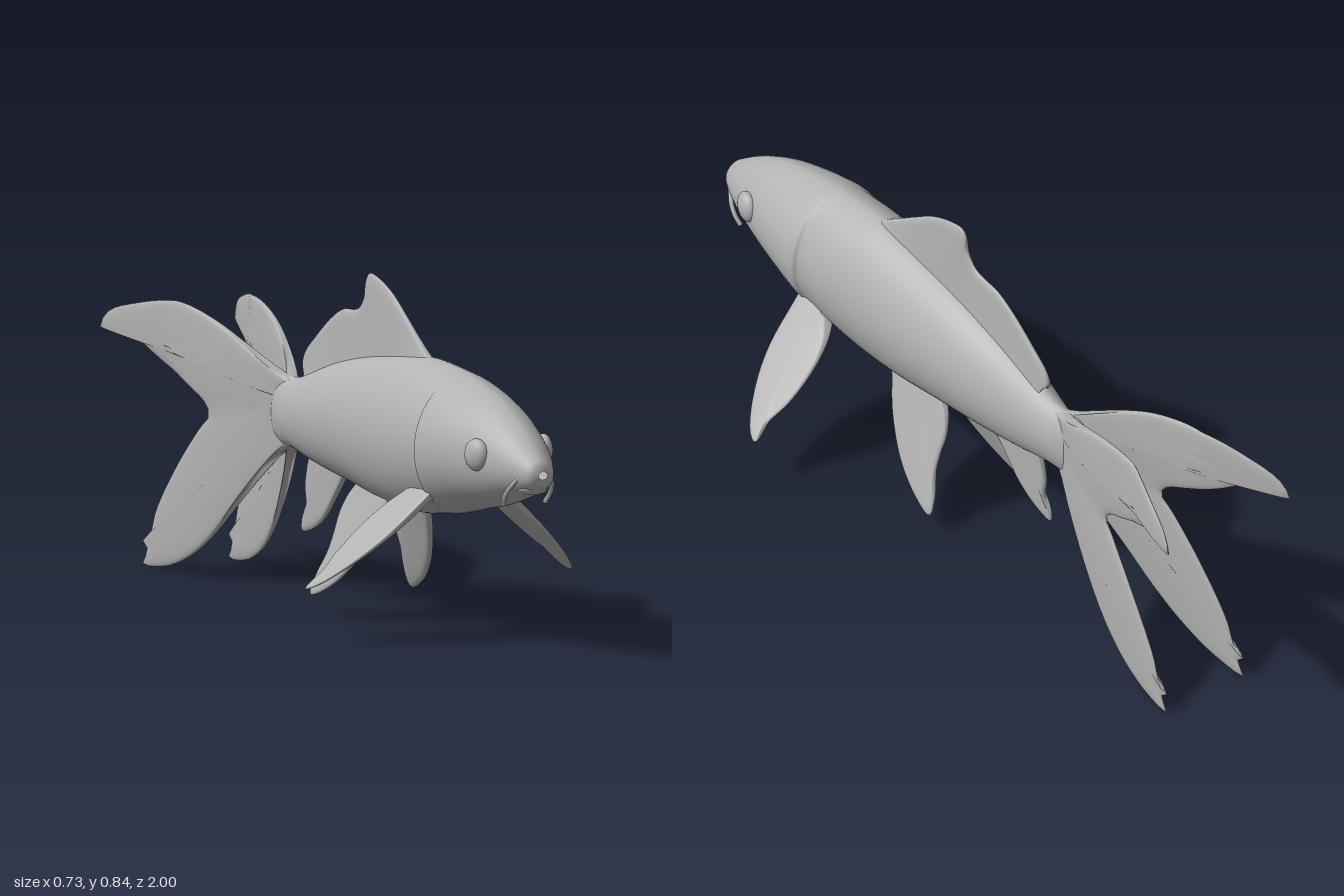
import * as THREE from 'three';
import { mergeVertices } from 'three/addons/utils/BufferGeometryUtils.js';

const skin = new THREE.MeshStandardMaterial({ color: 0xb2b2b2, side: THREE.DoubleSide });
skin.name = 'greySkin';

// Smooth surface from a (nu x nv) grid of points; flip reverses the faces
function grid(nu, nv, point, flip) {
  const pos = [], idx = [], n = nv + 1;
  for (let i = 0; i <= nu; i++)
    for (let j = 0; j <= nv; j++) pos.push(...point(i / nu, j / nv));
  for (let i = 0; i < nu; i++)
    for (let j = 0; j < nv; j++) {
      const a = i * n + j, b = a + n;
      if (flip) idx.push(a, a + 1, b, b, a + 1, b + 1);
      else idx.push(a, b, a + 1, b, b + 1, a + 1);
    }
  let geo = new THREE.BufferGeometry();
  geo.setAttribute('position', new THREE.Float32BufferAttribute(pos, 3));
  geo.setIndex(idx);
  geo = mergeVertices(geo, 1e-5);
  geo.computeVertexNormals();
  return geo;
}

function add(group, name, geo) {
  const mesh = new THREE.Mesh(geo, skin);
  mesh.name = name;
  group.add(mesh);
  return mesh;
}

const curve = (pts) => new THREE.CatmullRomCurve3(pts.map(([z, y]) => new THREE.Vector3(0, y, z)));

// Fin: rays from a root curve to a rim curve, both [z, y]; xAt bends it sideways,
// thick = [half thickness at root, at rim]
function fin(root, rim, thick, xAt = () => 0, side = 1) {
  const r = curve(root), e = curve(rim);
  return grid(96, 24, (u, t) => {
    const s = 2 * t - 1, v = 1 - s * s;
    const p = r.getPointAt(u).lerp(e.getPointAt(u), v);
    const h = THREE.MathUtils.lerp(thick[0], thick[1], v) * Math.sqrt(1 - v ** 20);
    return [side * (xAt(p.z, p.y) - Math.sign(s) * h), p.y, p.z];
  }, side < 0);
}

// Body stations from nose to tail: z, top, bottom, half width
const stations = [
  [1.0, 0.475, 0.455, 0.012], [0.992, 0.495, 0.435, 0.03], [0.97, 0.515, 0.42, 0.045],
  [0.9, 0.565, 0.395, 0.075], [0.8, 0.615, 0.365, 0.103], [0.7, 0.645, 0.343, 0.126],
  [0.62, 0.662, 0.325, 0.139], [0.585, 0.667, 0.318, 0.14], [0.565, 0.67, 0.314, 0.131],
  [0.48, 0.677, 0.303, 0.134], [0.4, 0.68, 0.295, 0.132], [0.3, 0.672, 0.295, 0.128],
  [0.2, 0.66, 0.302, 0.122], [0.1, 0.645, 0.315, 0.114], [0, 0.625, 0.325, 0.104],
  [-0.1, 0.6, 0.335, 0.09], [-0.2, 0.568, 0.347, 0.072], [-0.3, 0.538, 0.362, 0.052],
  [-0.37, 0.54, 0.36, 0.038], [-0.41, 0.53, 0.37, 0.022], [-0.43, 0.5, 0.4, 0.002],
];

function bodyGeometry() {
  const spline = (f) => new THREE.CatmullRomCurve3(stations.map(f), false, 'catmullrom', 0.5);
  const heights = spline(([z, top, bottom]) => new THREE.Vector3(z, top, bottom));
  const widths = spline(([z, , , w]) => new THREE.Vector3(z, w, 0));
  return grid(100, 56, (u, t) => {
    const { x: z, y: top, z: bottom } = heights.getPoint(u);
    const w = widths.getPoint(u).y, mid = bottom + (top - bottom) * 0.47;
    const a = t * Math.PI * 2, c = Math.cos(a), s = t === 1 ? 0 : Math.sin(a);
    // peaked back, fuller belly
    const x = w * Math.sign(s) * Math.abs(s) ** (c > 0 ? 1.22 : 0.95);
    return [x, mid + c * (c > 0 ? top - mid : mid - bottom), z];
  }, true);
}

export function createModel() {
  const fish = new THREE.Group();
  fish.name = 'fish';
  add(fish, 'body', bodyGeometry());

  // Lower lip
  const lip = add(fish, 'lowerLip', new THREE.SphereGeometry(1, 24, 16));
  lip.scale.set(0.04, 0.02, 0.04);
  lip.position.set(0, 0.43, 0.943);

  // Dorsal and anal fins on the centre line
  add(fish, 'dorsalFin', fin(
    [[0.42, 0.665], [0.3, 0.655], [0.1, 0.63], [-0.1, 0.585], [-0.25, 0.54]],
    [[0.42, 0.665], [0.35, 0.71], [0.27, 0.765], [0.2, 0.81], [0.13, 0.838], [0.08, 0.845],
      [0.065, 0.83], [0.058, 0.79], [0.03, 0.755], [0, 0.745], [-0.06, 0.738], [-0.12, 0.71],
      [-0.2, 0.655], [-0.26, 0.605], [-0.27, 0.575], [-0.25, 0.555]],
    [0.018, 0.007]));
  add(fish, 'analFin', fin(
    [[-0.22, 0.37], [-0.13, 0.36], [-0.03, 0.35]],
    [[-0.22, 0.37], [-0.245, 0.32], [-0.257, 0.27], [-0.253, 0.22], [-0.278, 0.18], [-0.278, 0.162],
      [-0.24, 0.167], [-0.17, 0.2], [-0.1, 0.27], [-0.03, 0.35]],
    [0.012, 0.008]));

  for (const side of [1, -1]) {
    const label = side > 0 ? 'left' : 'right';

    // Forked tail, one fan on each side, flaring outward at the upper tip
    add(fish, label + 'TailFin', fin(
      [[-0.32, 0.53], [-0.34, 0.45], [-0.32, 0.37]],
      [[-0.32, 0.53], [-0.4, 0.557], [-0.5, 0.61], [-0.6, 0.65], [-0.74, 0.675], [-0.88, 0.655],
        [-0.97, 0.625], [-0.998, 0.585], [-0.96, 0.595], [-0.9, 0.585], [-0.8, 0.525], [-0.7, 0.475],
        [-0.63, 0.44], [-0.61, 0.41], [-0.65, 0.37], [-0.75, 0.26], [-0.84, 0.14], [-0.87, 0.07],
        [-0.9, 0.065], [-0.875, 0.04], [-0.9, 0.008], [-0.8, 0.012], [-0.7, 0.045], [-0.6, 0.11],
        [-0.5, 0.22], [-0.42, 0.31], [-0.32, 0.37]],
      [0.018, 0.007],
      (z, y) => 0.14 * (1 - Math.exp(-3.3 * Math.max(0, -z - 0.33)))
        + 0.25 * Math.max(0, -z - 0.75) * THREE.MathUtils.clamp((y - 0.4) / 0.15, 0, 1),
      side));

    // Paired fins below the body, spreading outward
    add(fish, label + 'PectoralFin', fin(
      [[0.49, 0.375], [0.55, 0.385], [0.605, 0.385]],
      [[0.49, 0.375], [0.445, 0.33], [0.427, 0.28], [0.427, 0.22], [0.443, 0.17], [0.437, 0.137],
        [0.47, 0.145], [0.53, 0.195], [0.58, 0.27], [0.605, 0.385]],
      [0.02, 0.01], (z, y) => 0.11 + (0.36 - y) * 1.13, side));
    add(fish, label + 'PelvicFin', fin(
      [[0.11, 0.34], [0.2, 0.33], [0.29, 0.315]],
      [[0.11, 0.34], [0.07, 0.295], [0.055, 0.25], [0.057, 0.2], [0.053, 0.15], [0.03, 0.09],
        [0.03, 0.055], [0.1, 0.075], [0.18, 0.13], [0.25, 0.22], [0.29, 0.315]],
      [0.015, 0.008], (z, y) => 0.045 + (0.32 - y) * 0.35, side));

    // Bulging eye
    const eye = add(fish, label + 'Eye', new THREE.SphereGeometry(1, 28, 20));
    eye.scale.set(0.022, 0.04, 0.038);
    eye.position.set(side * 0.092, 0.5, 0.825);
    eye.rotation.y = side * -0.25;

    // Barbel at the mouth corner
    const path = new THREE.CatmullRomCurve3([[0.045, 0.455, 0.955], [0.058, 0.43, 0.935],
      [0.062, 0.405, 0.915], [0.058, 0.385, 0.9]].map(([x, y, z]) => new THREE.Vector3(side * x, y, z)));
    add(fish, label + 'Barbel', new THREE.TubeGeometry(path, 14, 0.006, 10));
    const tip = add(fish, label + 'BarbelTip', new THREE.SphereGeometry(0.006, 12, 8));
    tip.position.copy(path.getPoint(1));
  }
  return fish;
}
